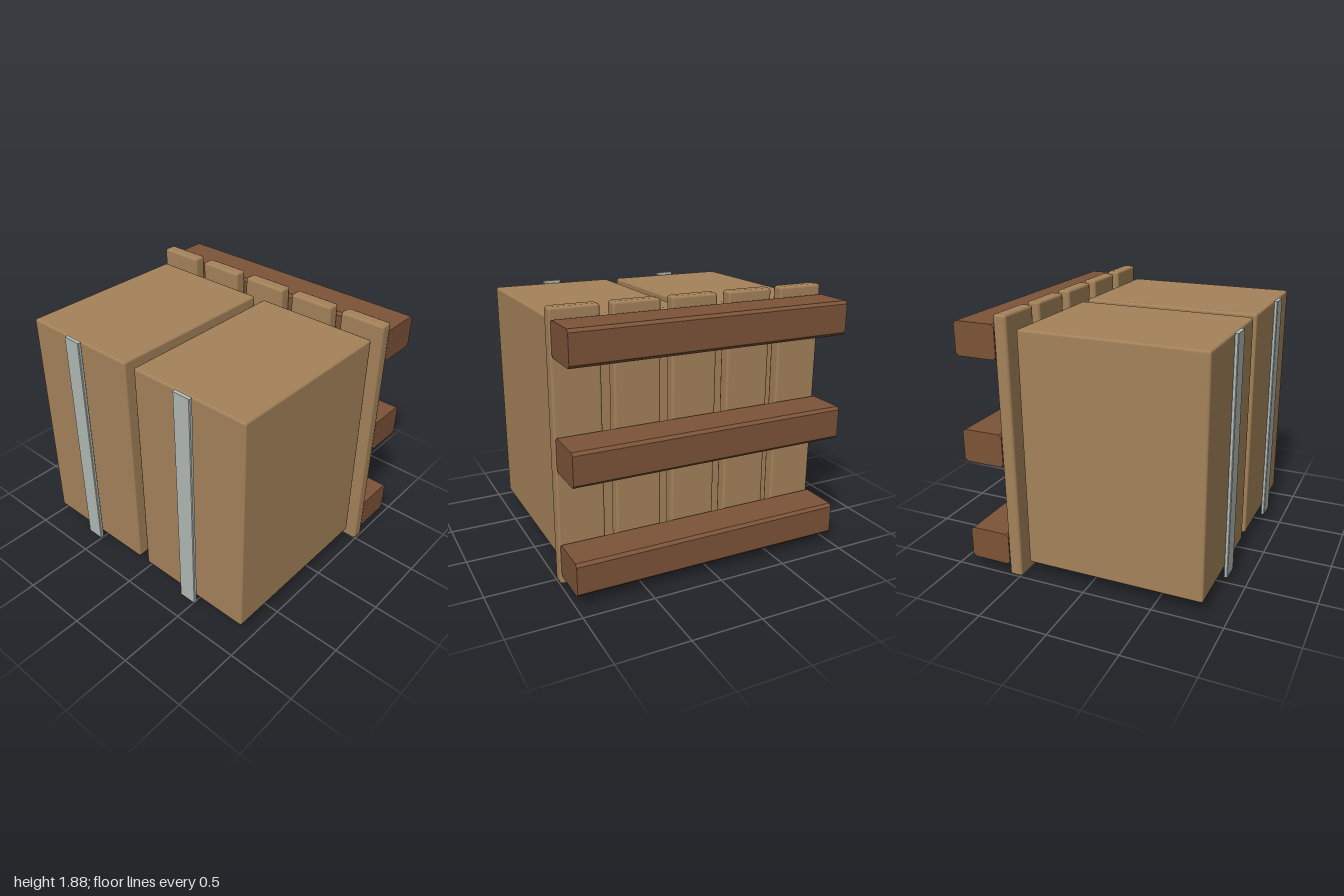
import * as THREE from 'three';
import { RoundedBoxGeometry } from 'three/addons/geometries/RoundedBoxGeometry.js';

const material = (name, color) => {
  const m = new THREE.MeshStandardMaterial({ color });
  m.name = name;
  return m;
};

// Extrudes a chamfered w x h rectangle, centred, along z
function chamferedBar(w, h, length, c) {
  const x = w / 2, y = h / 2;
  const shape = new THREE.Shape([
    [-x + c, -y], [x - c, -y], [x, -y + c], [x, y - c],
    [x - c, y], [-x + c, y], [-x, y - c], [-x, -y + c],
  ].map(([a, b]) => new THREE.Vector2(a, b)));
  return new THREE.ExtrudeGeometry(shape, { depth: length, bevelEnabled: false })
    .translate(0, 0, -length / 2);
}

export function createModel() {
  const model = new THREE.Group();
  model.name = 'palletWithBoxes';
  const tan = material('tan cardboard and wood', 0xa5835a);
  const brown = material('dark brown wood', 0x7d5438);
  const grey = material('grey tape', 0xb2bab5);

  const add = (name, geometry, mat, x, y, z) => {
    const mesh = new THREE.Mesh(geometry, mat);
    mesh.name = name;
    mesh.position.set(x, y, z);
    model.add(mesh);
  };

  // Five upright slats
  const slat = new RoundedBoxGeometry(0.335, 1.88, 0.096, 1, 0.02);
  [-0.832, -0.42, 0, 0.416, 0.832].forEach((x, i) =>
    add(`slat${i + 1}`, slat, tan, x, 0.94, -0.532));

  // Three cross runners behind the slats
  const runner = chamferedBar(0.305, 0.235, 1.98, 0.02).rotateY(Math.PI / 2);
  [0.192, 0.942, 1.692].forEach((y, i) =>
    add(`runner${i + 1}`, runner, brown, 0, y, -0.735));

  // Two boxes, each with a tape strip in front
  const box = new RoundedBoxGeometry(0.908, 1.68, 1.285, 1, 0.017);
  const tape = chamferedBar(0.137, 0.028, 1.715, 0.005).rotateX(Math.PI / 2);
  [['right', -0.498], ['left', 0.492]].forEach(([side, x]) => {
    add(`${side}Box`, box, tan, x, 0.945, 0.198);
    add(`${side}Tape`, tape, grey, x, 0.943, 0.874);
  });
  return model;
}
